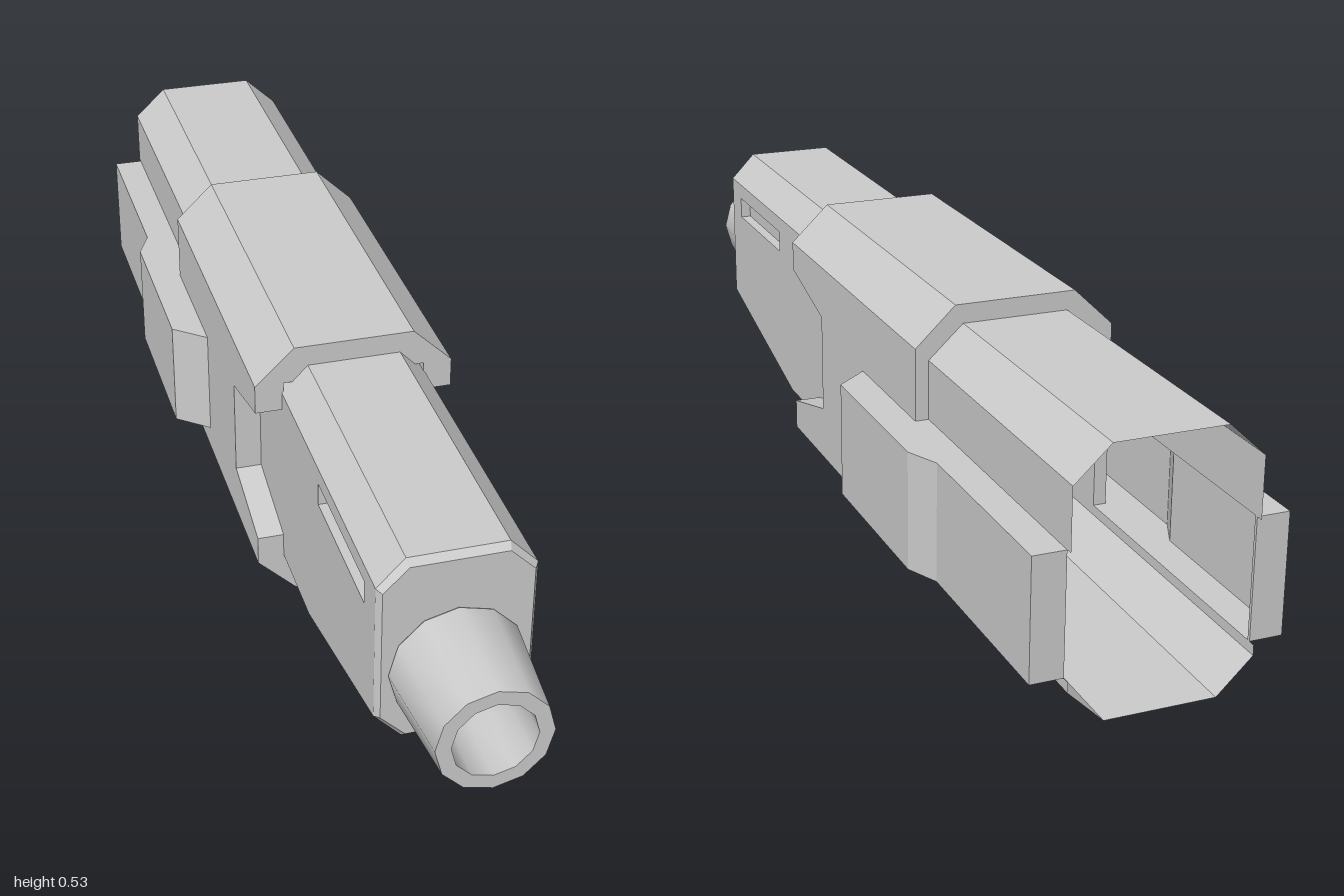
import * as THREE from 'three';
import { toCreasedNormals } from 'three/addons/utils/BufferGeometryUtils.js';

const grey = new THREE.MeshStandardMaterial({ color: 0xcccccc, side: THREE.DoubleSide });

// Joins cross-sections of [x, y, z] points with flat-shaded quads
function loft(sections, closed = false) {
  const pos = [];
  for (let s = 0; s + 1 < sections.length; s++) {
    const a = sections[s], b = sections[s + 1], n = a.length;
    for (let i = 0; i < (closed ? n : n - 1); i++) {
      const j = (i + 1) % n;
      pos.push(...a[i], ...a[j], ...b[j], ...a[i], ...b[j], ...b[i]);
    }
  }
  const g = new THREE.BufferGeometry();
  g.setAttribute('position', new THREE.Float32BufferAttribute(pos, 3));
  g.computeVertexNormals();
  return g;
}

const shapeOf = (pts) => new THREE.Shape(pts.map(([x, y]) => new THREE.Vector2(x, y)));

// Prism of an (x, y) outline between two z positions
function prism(shape, z0, z1) {
  return new THREE.ExtrudeGeometry(shape, { depth: z1 - z0, bevelEnabled: false }).translate(0, 0, z0);
}

// Side panel from a (z, y) outline, its outer face at x
function sidePanel(shape, x, depth) {
  return new THREE.ExtrudeGeometry(shape, { depth, bevelEnabled: false })
    .rotateY(-Math.PI / 2).translate(x, 0, 0);
}

// Half of a chamfered section: shoulder, flat, flat, shoulder
const cap = (w, flat, shoulder, y) => [[w, shoulder], [flat, y], [-flat, y], [-w, shoulder]];
const at = (pts, z) => pts.map(([x, y]) => [x, y, z]);
const octagon = (top, bottom) => [...top, ...[...bottom].reverse()];

export function createModel() {
  const model = new THREE.Group();
  const add = (name, geometry) => {
    const m = new THREE.Mesh(geometry, grey);
    m.name = name;
    model.add(m);
    return m;
  };
  const addPair = (name, geometry) => {
    add(name + 'Left', geometry);
    add(name + 'Right', geometry).scale.x = -1;
  };

  // Front body: chamfered top, bottom rising to the nose
  const bodyTop = cap(0.133, 0.085, 0.438, 0.488);
  const bodyLow = cap(0.133, 0.085, 0.08, 0.03);
  const noseLow = cap(0.133, 0.085, 0.18, 0.128);
  add('frontBodyTop', loft([at(bodyTop, 0.04), at(bodyTop, 0.8)]));
  add('frontBodyBottom', loft([at(bodyLow, 0.04), at(bodyLow, 0.4), at(noseLow, 0.8)]));

  // Bevelled nose face
  const noseRim = octagon(bodyTop, noseLow);
  const noseFace = octagon(cap(0.125, 0.082, 0.434, 0.477), cap(0.125, 0.082, 0.184, 0.14));
  add('noseBevel', loft([at(noseRim, 0.8), at(noseFace, 0.812)], true));
  add('noseFace', new THREE.ShapeGeometry(shapeOf(noseFace)).translate(0, 0, 0.812));

  // Body sides with a sunken slot
  const side = shapeOf([[0.04, 0.08], [0.4, 0.08], [0.8, 0.18], [0.8, 0.438], [0.04, 0.438]]);
  side.holes.push(shapeOf([[0.465, 0.365], [0.465, 0.407], [0.74, 0.407], [0.74, 0.365]]));
  addPair('frontBodySide', sidePanel(side, 0.133, 0.02));
  addPair('slotFloor', new THREE.BoxGeometry(0.004, 0.06, 0.3).translate(0.111, 0.386, 0.6));

  // Hollow twelve-sided nozzle
  const nozzle = new THREE.LatheGeometry(
    [[0.105, 0.8], [0.114, 0.815], [0.097, 1], [0.071, 1], [0.071, 0.84], [0, 0.84]]
      .map(([r, y]) => new THREE.Vector2(r, y)), 12);
  add('nozzle', toCreasedNormals(nozzle.rotateX(Math.PI / 2).translate(0, 0.271, 0), 0.6));

  // Rear housing sections
  const hullTop = cap(0.158, 0.096, 0.435, 0.493);
  const hullLow = cap(0.158, 0.096, 0.1, 0.04);
  const hull = octagon(hullTop, hullLow);

  // Sleeve around the middle
  const sleeveTop = cap(0.182, 0.11, 0.458, 0.527);
  const sleeveLow = cap(0.182, 0.11, 0.071, 0);
  const ring = shapeOf(octagon(sleeveTop, sleeveLow));
  ring.holes.push(shapeOf(hull));
  add('sleeve', prism(ring, -0.44, 0.05));
  add('bulkhead', prism(shapeOf(hull), 0.04, 0.05));
  add('sleeveFrontTop', prism(shapeOf(sleeveTop), 0.05, 0.22));
  add('sleeveFrontBottom', prism(shapeOf(sleeveLow), 0.05, 0.22));

  // Sleeve cheeks leaving a tapered notch on each side
  addPair('upperCheek', sidePanel(
    shapeOf([[0.05, 0.358], [0.22, 0.403], [0.22, 0.458], [0.05, 0.458]]), 0.182, 0.052));
  addPair('lowerCheek', sidePanel(
    shapeOf([[0.05, 0.071], [0.22, 0.071], [0.22, 0.127], [0.05, 0.172]]), 0.182, 0.052));

  // Thin rear housing, open behind and along the side rails
  const [low, high] = [0.118, 0.329];
  const upper = [[0.158, high], ...hullTop, [-0.158, high]];
  const lower = [[0.158, low], ...hullLow, [-0.158, low]];
  add('rearHousingTop', loft([at(upper, -1), at(upper, -0.44)]));
  add('rearHousingBottom', loft([at(lower, -1), at(lower, -0.44)]));

  // Hollow side rails stepping inward towards the back
  const rail = [[0.18, -0.178], [0.242, -0.23], [0.242, -0.56], [0.215, -0.62], [0.215, -0.985]]
    .map(([x, z]) => at([[0.158, low], [x, low], [x, high], [0.158, high]], z));
  addPair('sideRail', loft(rail));
  addPair('sideRailEnd', new THREE.BoxGeometry(0.057, high - low, 0.006)
    .translate(0.1865, (low + high) / 2, -0.984));

  return model;
}
